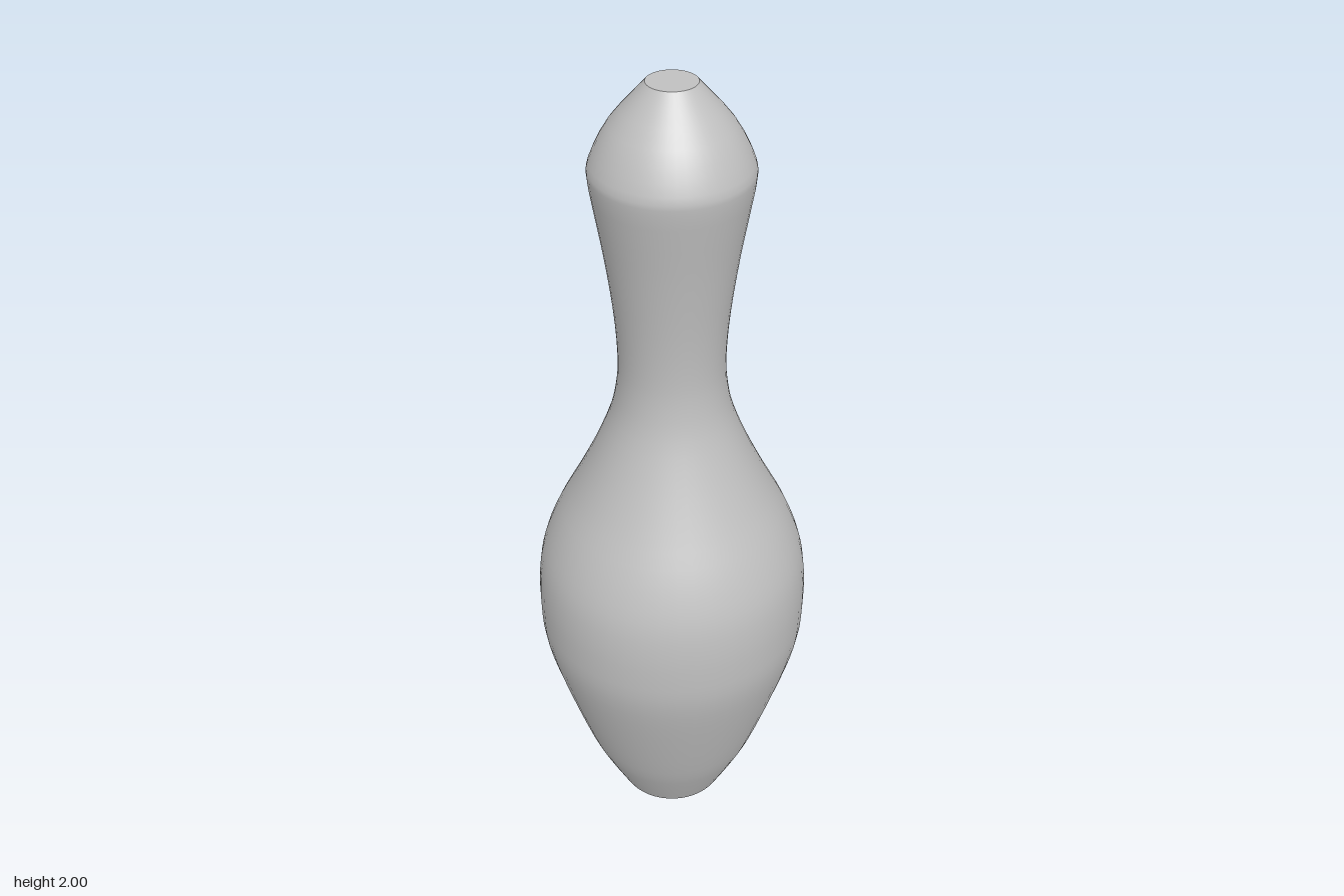
import * as THREE from 'three';

const SEGMENTS = 48;

export function createModel() {
  const group = new THREE.Group();
  group.name = 'pin';
  const grey = new THREE.MeshStandardMaterial({ color: 0xc0c0c0 });
  grey.name = 'light grey';

  // Smooth profile from base to crown: radius, height
  const profile = new THREE.SplineCurve([
    [0.14, 0], [0.187, 0.1], [0.228, 0.2], [0.29, 0.4], [0.325, 0.54],
    [0.332, 0.64], [0.329, 0.73], [0.315, 0.81], [0.281, 0.9], [0.23, 1.0],
    [0.183, 1.1], [0.144, 1.2], [0.127, 1.28], [0.123, 1.36], [0.13, 1.47],
    [0.148, 1.61], [0.168, 1.73], [0.177, 1.79], [0.174, 1.83],
    [0.133, 1.91], [0.055, 2.0],
  ].map(([r, y]) => new THREE.Vector2(r, y)));

  const body = new THREE.Mesh(new THREE.LatheGeometry(profile.getPoints(60), SEGMENTS), grey);
  body.name = 'body';
  group.add(body);

  // Flat discs closing the base and the crown
  const addCap = (name, radius, y, tilt) => {
    const cap = new THREE.Mesh(new THREE.CircleGeometry(radius, SEGMENTS), grey);
    cap.name = name;
    cap.rotation.x = tilt;
    cap.position.y = y;
    group.add(cap);
  };
  addCap('base', 0.14, 0, Math.PI / 2);
  addCap('crown', 0.055, 2, -Math.PI / 2);

  return group;
}
